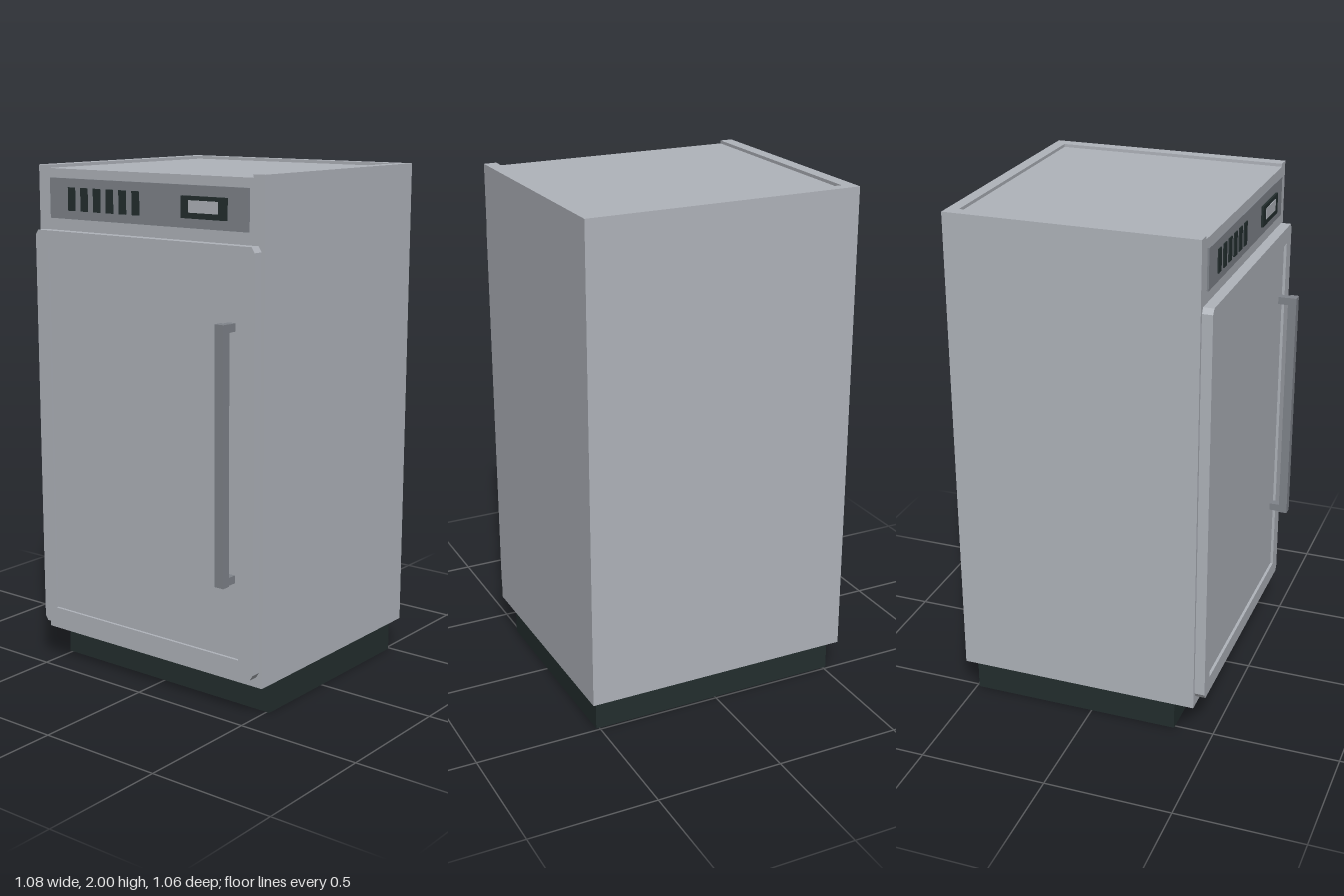
import * as THREE from 'three';

const paint = (name, color) => {
  const m = new THREE.MeshStandardMaterial({ color });
  m.name = name;
  return m;
};

export function createModel() {
  const steel = paint('light steel', 0xb0b4bb);
  const grey = paint('mid grey', 0x80848b);
  const dark = paint('dark charcoal', 0x232e2e);
  const root = new THREE.Group();
  root.name = 'refrigerator';

  const add = (name, geometry, material, parent = root) => {
    const mesh = new THREE.Mesh(geometry, material);
    mesh.name = name;
    parent.add(mesh);
    return mesh;
  };
  // Box given by its limits on each axis
  const box = (name, material, [x0, x1], [y0, y1], [z0, z1], parent) => {
    const g = new THREE.BoxGeometry(x1 - x0, y1 - y0, z1 - z0);
    g.translate((x0 + x1) / 2, (y0 + y1) / 2, (z0 + z1) / 2);
    return add(name, g, material, parent);
  };
  const outline = (pts) => pts.map(([x, y]) => new THREE.Vector2(x, y));
  const extrude = (shape, depth) =>
    new THREE.ExtrudeGeometry(shape, { depth, bevelEnabled: false });

  // Plinth and cabinet
  box('plinth', dark, [-0.513, 0.513], [0, 0.13], [-0.49, 0.345]);
  box('cabinet', steel, [-0.54, 0.54], [0.13, 1.988], [-0.53, 0.43]);

  // Raised rim around the top, open at the front
  const rim = new THREE.Shape(outline([
    [-0.54, -0.43], [-0.49, -0.43], [-0.49, 0.485], [0.49, 0.485],
    [0.49, -0.43], [0.54, -0.43], [0.54, 0.53], [-0.54, 0.53],
  ]));
  add('topRim', extrude(rim, 0.012).rotateX(-Math.PI / 2).translate(0, 1.988, 0), steel);

  // Door: frame with clipped corners around a recessed panel
  const door = new THREE.Group();
  door.name = 'door';
  root.add(door);
  const [w, b, t, cx, cy] = [0.527, 0.17, 1.755, 0.013, 0.02];
  const frame = new THREE.Shape(outline([
    [-w + cx, b], [w - cx, b], [w, b + cy], [w, t - cy],
    [w - cx, t], [-w + cx, t], [-w, t - cy], [-w, b + cy],
  ]));
  frame.holes.push(new THREE.Path(outline([
    [-0.464, 0.235], [-0.464, 1.69], [0.461, 1.69], [0.461, 0.235],
  ])));
  add('doorFrame', extrude(frame, 0.04).translate(0, 0, 0.43), steel, door);
  box('doorPanel', steel, [-0.464, 0.461], [0.235, 1.69], [0.43, 0.459], door);

  // Handle on two brackets
  const handle = new THREE.Group();
  handle.name = 'handle';
  door.add(handle);
  box('handleBar', grey, [0.402, 0.441], [0.523, 1.485], [0.5, 0.534], handle);
  for (const y of [0.525, 1.453])
    box('handleBracket', grey, [0.406, 0.437], [y, y + 0.03], [0.459, 0.5], handle);

  // Control strip with vent slots and a display
  const strip = new THREE.Group();
  strip.name = 'controlStrip';
  root.add(strip);
  box('stripPlate', grey, [-0.477, 0.475], [1.8, 1.953], [0.43, 0.437], strip);
  for (let i = 0; i < 6; i++) {
    const x = -0.362 + i * 0.064;
    box('ventSlot', dark, [x - 0.017, x + 0.017], [1.832, 1.92], [0.436, 0.442], strip);
  }
  box('displayFrame', dark, [0.178, 0.384], [1.835, 1.915], [0.437, 0.446], strip);
  box('displayScreen', steel, [0.214, 0.347], [1.856, 1.9], [0.444, 0.448], strip);

  return root;
}
